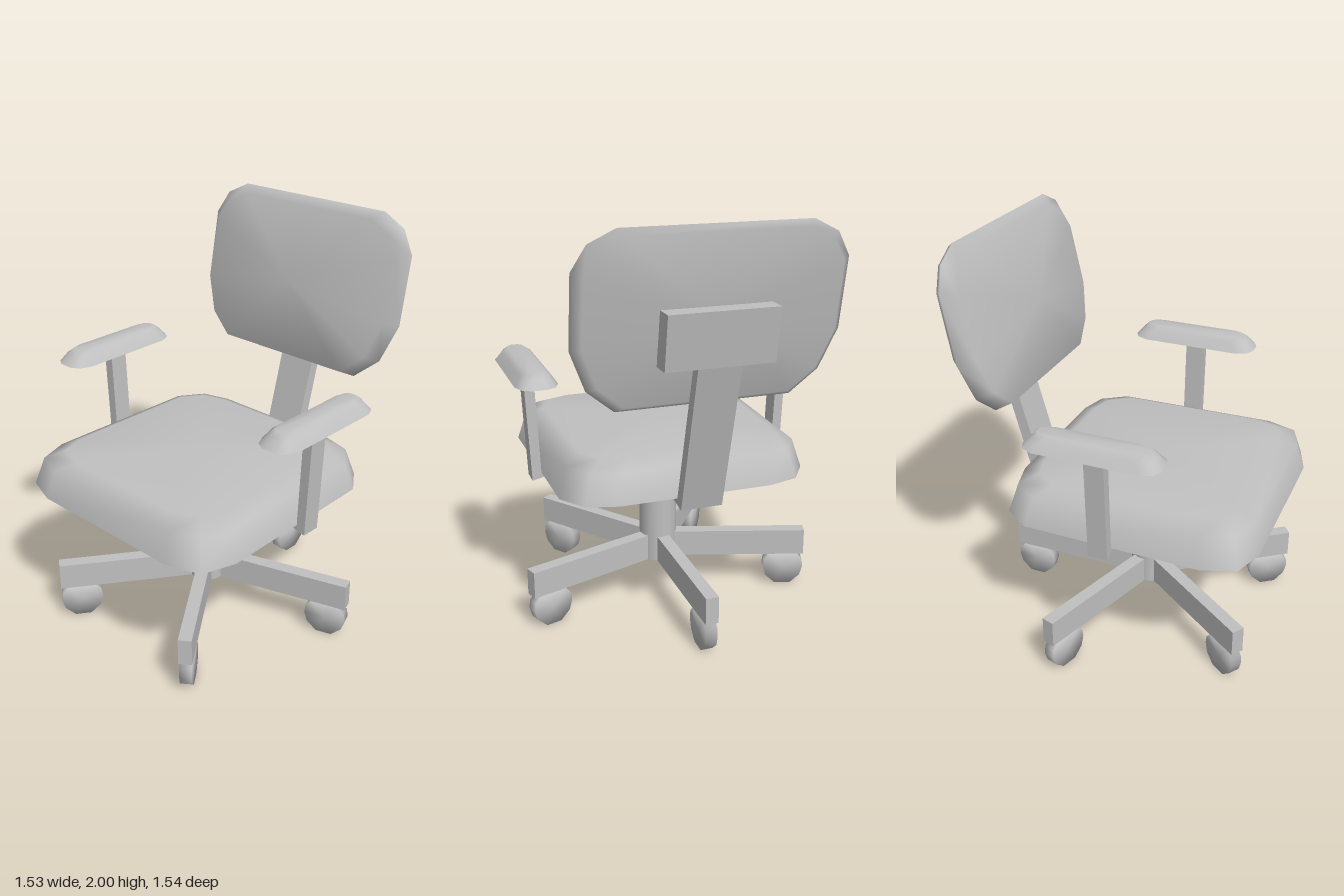
import * as THREE from 'three';

const grey = new THREE.MeshStandardMaterial({ color: 0xc0c0c0, side: THREE.DoubleSide });
grey.name = 'grey';

// Skin a list of closed rings; start and end are optional centre points that close it.
function loft(rings, start, end) {
  const n = rings[0].length, pos = rings.flat(2), index = [];
  for (let r = 0; r < rings.length - 1; r++) {
    for (let j = 0; j < n; j++) {
      const a = r * n + j, b = r * n + (j + 1) % n;
      index.push(a, b, b + n, a, b + n, a + n);
    }
  }
  const cap = (centre, base, flip) => {
    const c = pos.length / 3;
    pos.push(...centre);
    for (let j = 0; j < n; j++) {
      const a = base + j, b = base + (j + 1) % n;
      index.push(...(flip ? [b, a, c] : [a, b, c]));
    }
  };
  if (start) cap(start, 0, true);
  if (end) cap(end, (rings.length - 1) * n, false);
  const g = new THREE.BufferGeometry();
  g.setAttribute('position', new THREE.Float32BufferAttribute(pos, 3));
  g.setIndex(index);
  g.computeVertexNormals();
  return g;
}

// Complete a half outline (x > 0) with its mirror image.
const mirrored = (half) => [...half, ...half.map(([x, v]) => [-x, v]).reverse()];

// Extrude a flat polygon, centred on its depth.
function prism(points, depth) {
  const shape = new THREE.Shape(points.map(([x, y]) => new THREE.Vector2(x, y)));
  return new THREE.ExtrudeGeometry(shape, { depth, bevelEnabled: false }).translate(0, 0, -depth / 2);
}

export function createModel() {
  const model = new THREE.Group();
  model.name = 'officeChair';
  const add = (name, geometry, parent = model) => {
    const mesh = new THREE.Mesh(geometry, grey);
    mesh.name = name;
    parent.add(mesh);
    return mesh;
  };

  // Seat cushion: shell with a slightly domed top, open underneath
  const seat = mirrored([[0.41, 0.625], [0.57, 0.57], [0.625, 0.41],
    [0.61, -0.455], [0.52, -0.585], [0.37, -0.625]]);
  const seatRings = [[0.73, 1], [0.87, 0.935], [0.91, 0.8]]
    .map(([y, s]) => seat.map(([x, z]) => [x * s, y, 0.145 + z * s]));
  add('seat', loft(seatRings, null, [0, 0.93, 0.145]));

  // Backrest: leaning cushion, fuller towards the bottom of its front
  const back = mirrored([[0.41, -0.4], [0.54, -0.29], [0.615, -0.1],
    [0.615, 0.23], [0.55, 0.34], [0.43, 0.4]]);
  const backRing = (s, offset, swell) => back.map(([x, y]) =>
    [x * s, 1.6 + y * s, -0.61 - 0.175 * y * s + offset - swell * y]);
  add('backrest', loft([backRing(0.93, -0.045, 0), backRing(1, 0, 0), backRing(0.91, 0.062, 0.045)],
    [0, 1.6, -0.67], [0, 1.62, -0.495]));

  // Bracket behind the backrest, open at the bottom
  const bracketRing = (y, front, rear) =>
    [[0.25, y, front], [0.25, y, rear], [-0.25, y, rear], [-0.25, y, front]];
  const bracket = loft([bracketRing(1.41, -0.63, -0.73), bracketRing(1.66, -0.67, -0.77)],
    null, [0, 1.66, -0.72]).toNonIndexed();
  bracket.computeVertexNormals();
  add('backBracket', bracket);

  // Bent strut carrying the backrest
  add('backStrut', prism([[-0.27, 0.73], [-0.53, 0.69], [-0.725, 1.42], [-0.67, 1.42], [-0.48, 0.73]], 0.2)
    .rotateY(-Math.PI / 2));

  // Armrests
  const padHalf = [[0.35, 1], [0.75, 0.93], [1, 0.76], [1, -0.76], [0.75, -0.93], [0.35, -1]];
  const padRings = [[1.235, 0.1, 0.325], [1.28, 0.07, 0.285], [1.3, 0.045, 0.26]]
    .map(([y, hx, hz]) => mirrored(padHalf).map(([x, z]) => [x * hx, y, z * hz]));
  const pad = loft(padRings, null, [0, 1.3, 0]);
  for (const side of [1, -1]) {
    const name = side > 0 ? 'left' : 'right';
    add(name + 'ArmPad', pad).position.set(side * 0.663, 0, 0.08);
    const post = [[0.49, 0.73], [0.66, 0.69], [0.685, 1.237], [0.635, 1.237], [0.615, 0.73]];
    add(name + 'ArmPost', prism(post.map(([x, y]) => [x * side, y]), 0.095)).position.z = 0.085;
  }

  // Column
  add('column', new THREE.CylinderGeometry(0.095, 0.095, 0.56, 16)).position.set(0, 0.45, 0.085);

  // Five-legged base with a caster at the end of each leg
  const wheel = [[0.04, 0], [0.09, 0.045], [0.105, 0.095], [0.1, 0.135], [0.07, 0.17]];
  const wheelRing = (x) => mirrored(wheel).map(([z, y]) => [x, y, -0.66 - z]);
  const caster = loft([wheelRing(-0.029), wheelRing(0.029)], [-0.029, 0.09, -0.66], [0.029, 0.09, -0.66]);
  const leg = new THREE.BoxGeometry(0.064, 0.135, 0.765).translate(0, 0.2375, -0.3825);
  for (let i = 0; i < 5; i++) {
    const arm = new THREE.Group();
    arm.name = 'baseLeg' + (i + 1);
    arm.position.z = 0.085;
    arm.rotation.y = i * Math.PI * 2 / 5;
    add('leg', leg, arm);
    add('caster', caster, arm);
    model.add(arm);
  }
  return model;
}
